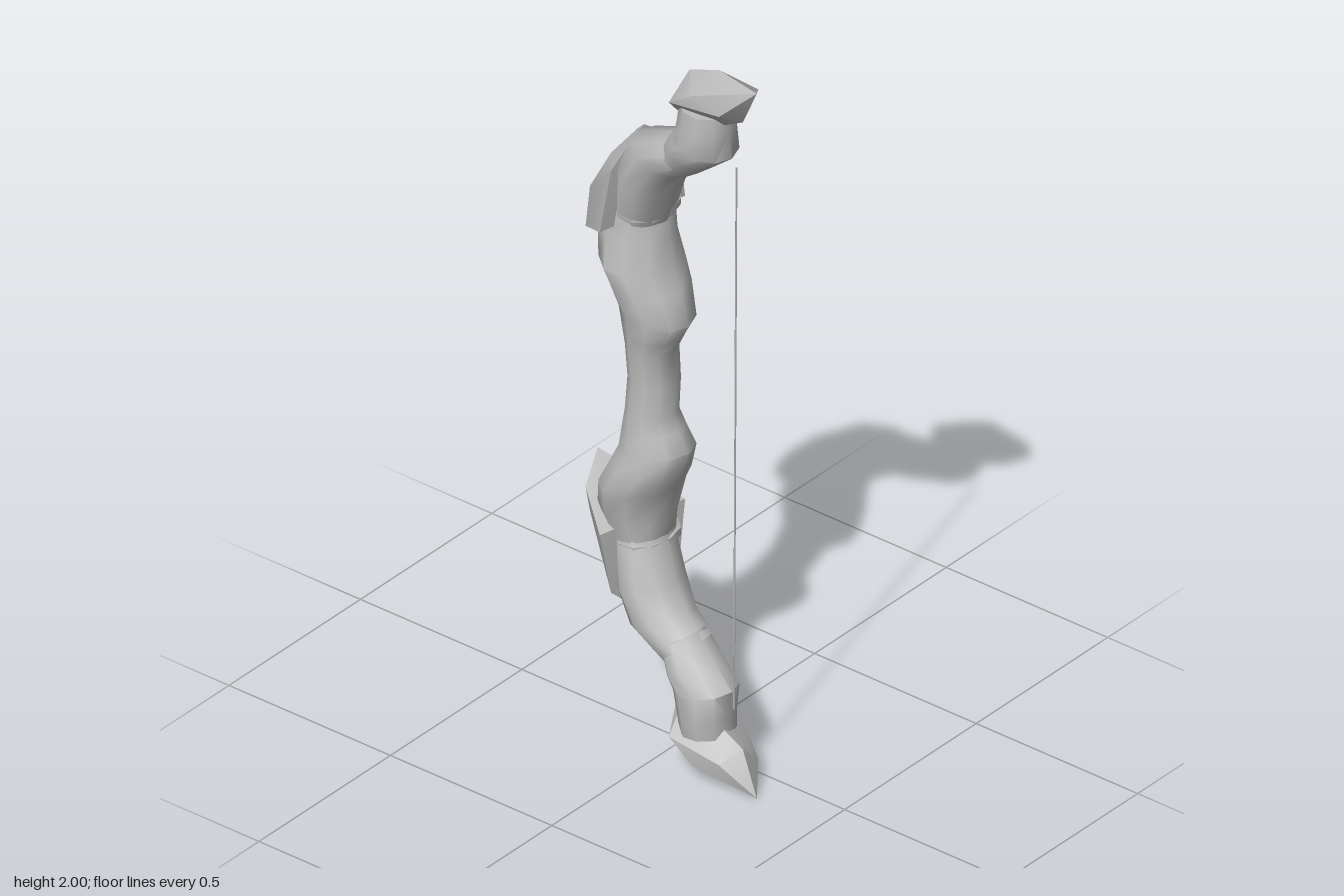
import * as THREE from 'three';
import { toCreasedNormals } from 'three/addons/utils/BufferGeometryUtils.js';
import { ConvexGeometry } from 'three/addons/geometries/ConvexGeometry.js';

const SIDES = 10;

// Skin over oval sections: [outerX, outerY, innerX, innerY, zBack, zFront]
function loft(sections, flip = false) {
  const pos = [], idx = [];
  const n = sections.length;
  const my = (y) => (flip ? 2 - y : y);
  const tri = (a, b, c) => (flip ? idx.push(a, c, b) : idx.push(a, b, c));
  for (const [ox, oy, ix, iy, z0, z1] of sections) {
    for (let j = 0; j < SIDES; j++) {
      const t = (j / SIDES) * Math.PI * 2;
      const c = Math.cos(t) / 2, s = Math.sin(t) / 2;
      pos.push((ox + ix) / 2 + c * (ix - ox), my((oy + iy) / 2 + c * (iy - oy)), (z0 + z1) / 2 + s * (z1 - z0));
    }
  }
  for (let i = 0; i < n - 1; i++) {
    for (let j = 0; j < SIDES; j++) {
      const a = i * SIDES + j, b = i * SIDES + ((j + 1) % SIDES);
      tri(a, a + SIDES, b);
      tri(b, a + SIDES, b + SIDES);
    }
  }
  // end caps
  const top = (n - 1) * SIDES;
  for (let j = 1; j < SIDES - 1; j++) {
    tri(0, j, j + 1);
    tri(top, top + j + 1, top + j);
  }
  const g = new THREE.BufferGeometry();
  g.setAttribute('position', new THREE.Float32BufferAttribute(pos, 3));
  g.setIndex(idx);
  return toCreasedNormals(g, 0.9);
}

// Faceted solid around a few corner points
function hull(points, flip) {
  const g = new ConvexGeometry(points.map(([x, y, z]) => new THREE.Vector3(x, flip ? 2 - y : y, z)));
  return toCreasedNormals(g, 0.5);
}

const gripHalf = [
  [-0.155, 1.09, -0.028, 1.09, -0.063, 0.075],
  [-0.165, 1.14, -0.008, 1.13, -0.072, 0.08],
  [-0.175, 1.2, 0.02, 1.18, -0.085, 0.09],
  [-0.2, 1.25, -0.01, 1.265, -0.11, 0.1],
  [-0.235, 1.32, -0.035, 1.31, -0.125, 0.105],
  [-0.25, 1.4, -0.05, 1.4, -0.1, 0.08],
  [-0.19, 1.5, -0.06, 1.46, -0.095, 0.07],
];

const lowerLimb = [
  [-0.2, 1.45, -0.06, 1.44, -0.09, 0.07],
  [-0.17, 1.6, -0.02, 1.55, -0.09, 0.1],
  [-0.125, 1.69, 0.03, 1.625, -0.065, 0.1],
  [-0.01, 1.74, 0.09, 1.665, -0.045, 0.11],
];

const upperLimb = [
  [-0.02, 1.7, 0.07, 1.65, -0.035, 0.1],
  [0.015, 1.77, 0.125, 1.695, -0.035, 0.125],
  [0.04, 1.785, 0.2, 1.757, -0.02, 0.14],
  [0.055, 1.84, 0.197, 1.83, -0.01, 0.14],
  [0.06, 1.89, 0.195, 1.88, -0.01, 0.135],
];

const bandRing = [
  [-0.18, 1.46, -0.066, 1.45, -0.092, 0.062],
  [-0.19, 1.468, -0.052, 1.457, -0.108, 0.076],
  [-0.19, 1.486, -0.05, 1.477, -0.108, 0.076],
  [-0.18, 1.495, -0.06, 1.486, -0.092, 0.062],
];

const armour = [
  [-0.31, 1.32, -0.055], [-0.235, 1.4, -0.12], [-0.11, 1.43, -0.142],
  [-0.105, 1.62, -0.11], [-0.13, 1.69, -0.01], [-0.15, 1.6, 0.09],
  [-0.165, 1.43, 0.115], [-0.27, 1.37, 0.04], [-0.285, 1.46, 0.005],
  [-0.28, 1.46, -0.08], [-0.19, 1.63, -0.06], [-0.2, 1.6, 0.03],
];

const tipHead = [
  [0.305, 2, 0.095], [0.16, 1.993, 0.06], [0.06, 1.95, 0.05],
  [0, 1.855, 0.02], [0.06, 1.85, 0.09], [0.065, 1.9, 0.135],
  [0.14, 1.95, 0.14], [0.22, 1.92, 0.135], [0.25, 1.89, 0.08],
  [0.195, 1.86, 0.08], [0.11, 1.89, -0.05], [0.18, 1.91, -0.02],
  [0.245, 1.95, 0.015], [0.1, 1.845, 0],
];

export function createModel() {
  const group = new THREE.Group();
  group.name = 'bow';
  const grey = new THREE.MeshStandardMaterial({ color: 0xbcbcbc });
  grey.name = 'grey';
  const add = (name, geometry, parent = group) => {
    const mesh = new THREE.Mesh(geometry, grey);
    mesh.name = name;
    parent.add(mesh);
    return mesh;
  };

  // Grip: waisted handle, the same above and below the middle
  const mirrored = gripHalf.map(([a, b, c, d, e, f]) => [a, 2 - b, c, 2 - d, e, f]).reverse();
  add('grip', loft([...mirrored, [-0.15, 1, -0.022, 1, -0.06, 0.07], ...gripHalf]));

  // Two mirrored arms
  for (const flip of [false, true]) {
    const arm = new THREE.Group();
    arm.name = flip ? 'lowerArm' : 'upperArm';
    group.add(arm);
    add('innerLimb', loft(lowerLimb, flip), arm);
    add('outerLimb', loft(upperLimb, flip), arm);
    add('bandRing', loft(bandRing, flip), arm);
    add('armourPlate', hull(armour, flip), arm);
    add('tipHead', hull(tipHead, flip), arm);
  }

  // String
  const string = add('string', new THREE.CylinderGeometry(0.003, 0.003, 1.54, 4));
  string.position.set(0.222, 0.98, 0.075);
  string.rotation.z = -0.005;

  return group;
}
